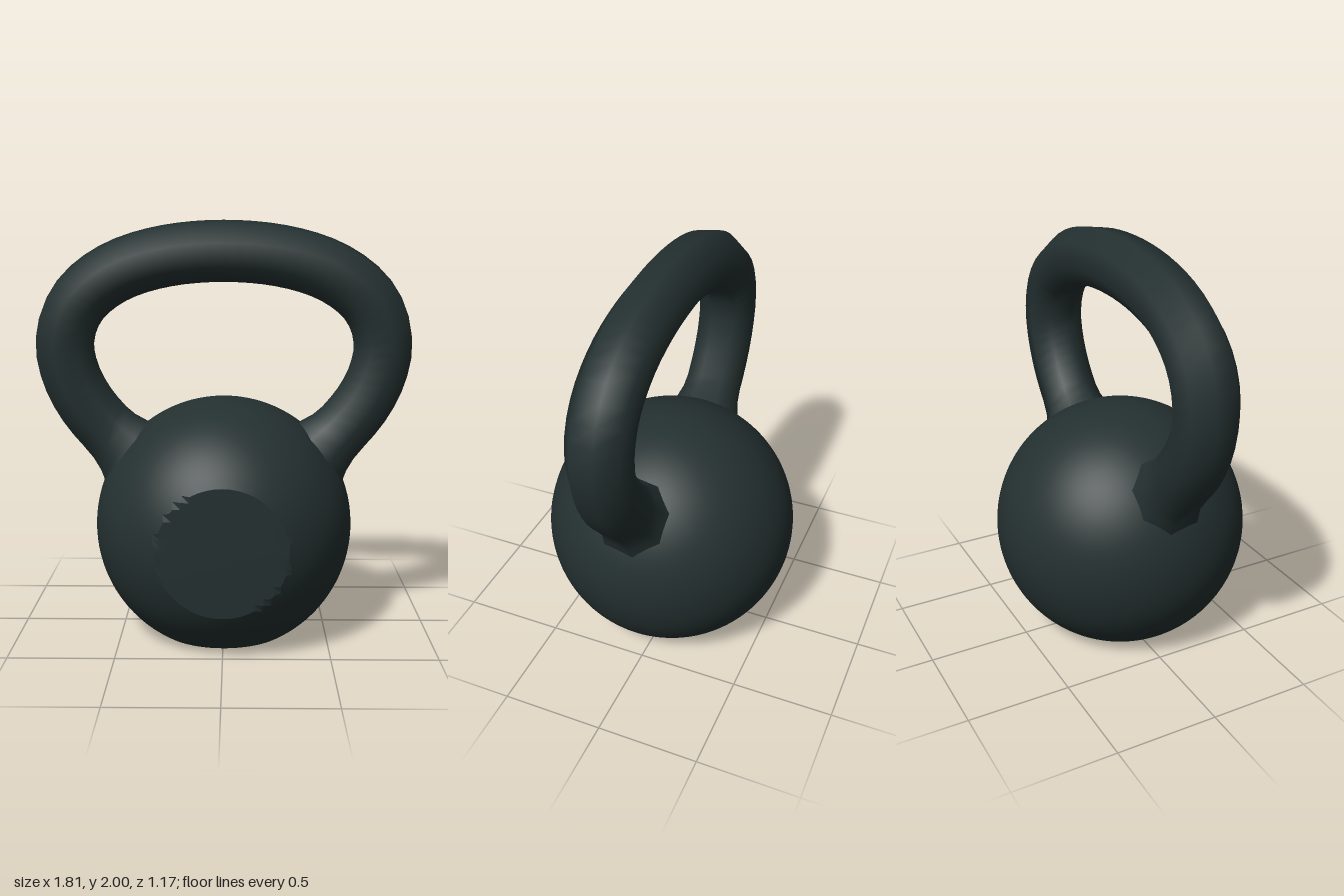
import * as THREE from 'three';
import { mergeVertices, toCreasedNormals } from 'three/addons/utils/BufferGeometryUtils.js';

const RADIUS = 0.625, CENTRE = new THREE.Vector3(0, 0.53, 0.042);

// Ball with flats: vertices inside a cut slide onto its plane, those beside it snap to its rim
function ballGeometry() {
  const geo = new THREE.SphereGeometry(RADIUS, 96, 64);
  const pos = geo.attributes.position;
  const cuts = [
    { axis: new THREE.Vector3(0, -1, 0), dist: 0.53 },
    { axis: new THREE.Vector3(0, 0, 1), dist: 0.548 },
  ];
  const p = new THREE.Vector3(), side = new THREE.Vector3();
  const halfCell = Math.PI / 128;
  for (let i = 0; i < pos.count; i++) {
    p.fromBufferAttribute(pos, i);
    for (const { axis, dist } of cuts) {
      const rim = Math.acos(dist / RADIUS);
      const angle = p.angleTo(axis);
      if (Math.abs(angle - rim) < halfCell) {
        side.copy(p).addScaledVector(axis, -p.dot(axis)).normalize();
        p.copy(axis).multiplyScalar(dist).addScaledVector(side, RADIUS * Math.sin(rim));
      } else if (angle < rim) {
        p.multiplyScalar(dist / p.dot(axis));
      }
    }
    pos.setXYZ(i, p.x, p.y, p.z);
  }
  return toCreasedNormals(geo, 0.3);
}

// Eight-sided bar swept along the handle loop, flaring where it meets the ball
function handleGeometry() {
  const half = [
    [0.44, 0.865], [0.475, 0.905], [0.57, 1.0], [0.67, 1.125], [0.737, 1.26],
    [0.765, 1.4], [0.742, 1.53], [0.68, 1.635], [0.58, 1.72], [0.45, 1.785], [0.25, 1.836],
  ];
  const points = [
    ...half.map(([x, y]) => new THREE.Vector3(-x, y, 0)),
    new THREE.Vector3(0, 1.855, 0),
    ...half.slice().reverse().map(([x, y]) => new THREE.Vector3(x, y, 0)),
  ];
  const curve = new THREE.CatmullRomCurve3(points, false, 'centripetal');
  const length = curve.getLength();
  const rows = 48, sides = 8, twist = THREE.MathUtils.degToRad(14);
  const verts = [], index = [];
  for (let i = 0; i <= rows; i++) {
    const u = i / rows;
    const c = curve.getPointAt(u), t = curve.getTangentAt(u);
    const fromEnd = Math.min(u, 1 - u) * length;
    const r = 0.149 + 0.05 * Math.max(0, 1 - fromEnd / 0.17) ** 1.3;
    for (let j = 0; j < sides; j++) {
      const a = twist + (j / sides) * Math.PI * 2;
      const out = r * Math.sin(a);
      verts.push(c.x - t.y * out, c.y + t.x * out, CENTRE.z + r * Math.cos(a));
      if (i < rows) {
        const k = i * sides + j, n = i * sides + ((j + 1) % sides);
        index.push(k, k + sides, n, n, k + sides, n + sides);
      }
    }
  }
  const geo = new THREE.BufferGeometry();
  geo.setAttribute('position', new THREE.Float32BufferAttribute(verts, 3));
  geo.setIndex(index);
  // Keep the winding outward
  const a = new THREE.Vector3(...verts.slice(0, 3));
  const b = new THREE.Vector3(...verts.slice(sides * 3, sides * 3 + 3));
  const d = new THREE.Vector3(...verts.slice(3, 6));
  const mid = new THREE.Vector3(points[0].x, points[0].y, CENTRE.z);
  const faceNormal = b.sub(a).cross(d.sub(a));
  if (faceNormal.dot(a.clone().sub(mid)) < 0) geo.setIndex(index.reverse());
  const smooth = mergeVertices(geo);
  smooth.computeVertexNormals();
  return smooth;
}

export function createModel() {
  const group = new THREE.Group();
  group.name = 'kettlebell';
  const iron = new THREE.MeshStandardMaterial({ color: 0x243030 });
  iron.name = 'dark iron';

  const ball = new THREE.Mesh(ballGeometry(), iron);
  ball.name = 'ball';
  ball.position.copy(CENTRE);

  const handle = new THREE.Mesh(handleGeometry(), iron);
  handle.name = 'handle';

  group.add(ball, handle);
  return group;
}
